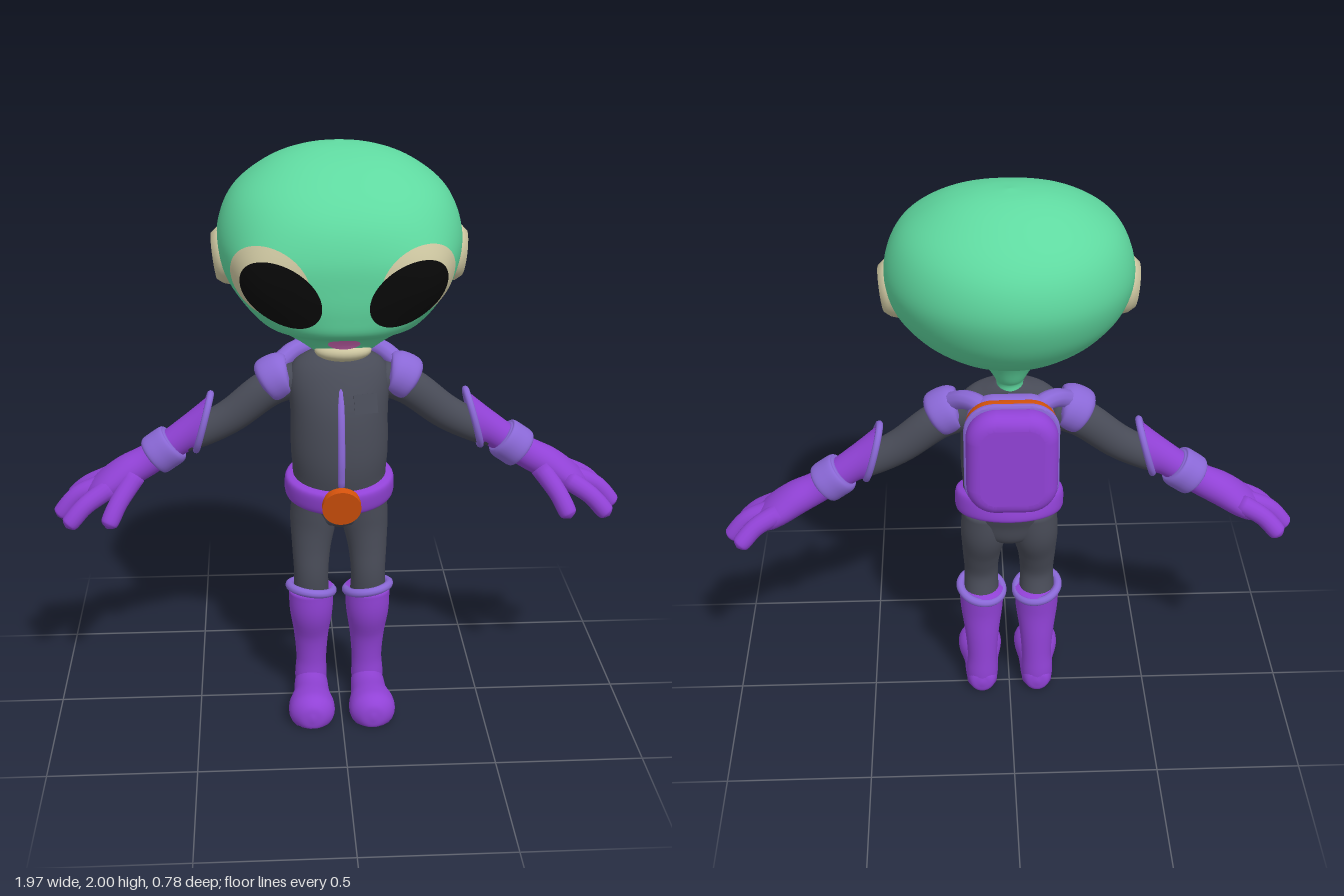
import * as THREE from 'three';
import { mergeVertices, toCreasedNormals } from 'three/addons/utils/BufferGeometryUtils.js';

const V = (x, y, z) => new THREE.Vector3(x, y, z);
const mat = (name, color) => Object.assign(new THREE.MeshStandardMaterial({ color }), { name });

// Joins rings of points into one smooth surface
function skin(rings, capStart = true) {
  const n = rings[0].length, pos = [], idx = [];
  rings.forEach(r => r.forEach(p => pos.push(p.x, p.y, p.z)));
  for (let i = 0; i < rings.length - 1; i++) for (let j = 0; j < n; j++) {
    const k = (j + 1) % n, a = i * n + j, b = i * n + k, c = b + n, d = a + n;
    idx.push(a, b, c, a, c, d);
  }
  const cap = (ring, base, flip) => {
    const m = ring.reduce((s, p) => s.add(p), V(0, 0, 0)).divideScalar(n), c = pos.length / 3;
    pos.push(m.x, m.y, m.z);
    for (let j = 0; j < n; j++) {
      const a = base + j, b = base + (j + 1) % n;
      idx.push(c, flip ? b : a, flip ? a : b);
    }
  };
  if (capStart) cap(rings[0], 0, true);
  cap(rings.at(-1), (rings.length - 1) * n, false);
  const g = new THREE.BufferGeometry();
  g.setAttribute('position', new THREE.Float32BufferAttribute(pos, 3));
  g.setIndex(idx);
  g.computeVertexNormals();
  return g;
}

// Rows are [x, y, z, radiusU, radiusV, skew], swept along their own centre line
function loftRings(rows, ref = V(0, 0, 1), n = 28, per = 5) {
  const path = new THREE.CatmullRomCurve3(rows.map(r => V(r[0], r[1], r[2])), false, 'catmullrom');
  const size = new THREE.CatmullRomCurve3(rows.map(r => V(r[3], r[4], r[5] || 0)), false, 'catmullrom');
  const steps = (rows.length - 1) * per, rings = [];
  for (let i = 0; i <= steps; i++) {
    const t = i / steps, c = path.getPoint(t), s = size.getPoint(t), T = path.getTangent(t);
    const v = ref.clone().addScaledVector(T, -ref.dot(T)).normalize(), u = v.clone().cross(T);
    rings.push(Array.from({ length: n }, (_, j) => {
      const a = j / n * Math.PI * 2, co = Math.cos(a);
      return c.clone().addScaledVector(u, s.x * co).addScaledVector(v, s.y * Math.sin(a)).addScaledVector(T, s.z * co);
    }));
  }
  return rings;
}
const loft = (rows, ref, n, per) => skin(loftRings(rows, ref, n, per));
const tube = (pts, r, closed = false, seg = 48) =>
  new THREE.TubeGeometry(new THREE.CatmullRomCurve3(pts, closed), seg, r, 10, closed);

function mirrored(geo) {
  const g = geo.clone().scale(-1, 1, 1), ix = g.index.array;
  for (let i = 0; i < ix.length; i += 3) [ix[i], ix[i + 1]] = [ix[i + 1], ix[i]];
  return g;
}

// Head profile rows: height, half width, front z, back z
const HEAD = [[1.34, .02, .18, -.02], [1.36, .09, .25, -.07], [1.4, .16, .272, -.12], [1.43, .215, .3, -.17],
  [1.46, .265, .36, -.225], [1.52, .325, .378, -.3], [1.6, .378, .385, -.355], [1.7, .4, .382, -.387],
  [1.8, .38, .345, -.372], [1.88, .328, .272, -.318], [1.95, .228, .155, -.222], [1.987, .12, .045, -.135], [2, .004, -.046, -.054]];
const headA = new THREE.CatmullRomCurve3(HEAD.map(r => V(r[0], r[1], 0)), false, 'catmullrom');
const headB = new THREE.CatmullRomCurve3(HEAD.map(r => V(r[2], r[3], 0)), false, 'catmullrom');
const NF = 2.3;
function headAt(t) {
  const a = headA.getPoint(t), b = headB.getPoint(t);
  return { y: a.x, w: a.y, m: (b.x + b.y) / 2, d: (b.x - b.y) / 2 };
}
// Bulges the head around each eye
function bulge(p) {
  for (const s of [1, -1]) {
    const d = p.distanceTo(V(.25 * s, 1.62, .29));
    p.addScaledVector(V(.6 * s, 0, .8), .03 * Math.exp(-d * d / .0144));
  }
  return p;
}
function headGeometry() {
  const rings = [];
  for (let i = 0; i <= 72; i++) {
    const h = headAt(i / 72);
    rings.push(Array.from({ length: 80 }, (_, j) => {
      const a = j / 80 * Math.PI * 2, c = Math.cos(a), s = Math.sin(a), e = 2 / (s > 0 ? NF : 2);
      return bulge(V(-h.w * Math.sign(c) * Math.abs(c) ** e, h.y, h.m + h.d * Math.sign(s) * Math.abs(s) ** e));
    }));
  }
  return skin(rings);
}
function facePoint(x, y, lift) {
  let lo = 0, hi = 1;
  for (let i = 0; i < 30; i++) headAt((lo + hi) / 2).y < y ? lo = (lo + hi) / 2 : hi = (lo + hi) / 2;
  const h = headAt(lo), q = Math.min(Math.abs(x) / h.w, .98);
  const p = bulge(V(x, y, h.m + h.d * (1 - q ** NF) ** (1 / NF)));
  return p.add(V(x, 0, .3).normalize().multiplyScalar(lift));
}
// Tilted oval laid on the face
function patch(cx, cy, a, b, tilt, lift) {
  const c = Math.cos(tilt), s = Math.sin(tilt), rings = [];
  for (let i = 12; i >= 1; i--) rings.push(Array.from({ length: 48 }, (_, j) => {
    const f = j / 48 * Math.PI * 2, u = a * i / 12 * Math.cos(f), v = b * i / 12 * Math.sin(f);
    return facePoint(cx + u * c - v * s, cy + u * s + v * c, lift);
  }));
  return skin(rings, false);
}

// Soft rounded slab for the backpack layers, from z0 back to z1
function slab(w, h, r, z0, z1, bevel, soft) {
  const x = w - bevel, y = h - bevel, q = Math.max(r - bevel, .02), s = new THREE.Shape();
  s.absarc(x - q, y - q, q, 0, Math.PI / 2);
  s.absarc(q - x, y - q, q, Math.PI / 2, Math.PI);
  s.absarc(q - x, q - y, q, Math.PI, Math.PI * 1.5);
  s.absarc(x - q, q - y, q, Math.PI * 1.5, Math.PI * 2);
  const bt = Math.min(bevel, (z0 - z1) * .45);
  const g = new THREE.ExtrudeGeometry(s, { depth: z0 - z1 - 2 * bt, bevelSize: bevel, bevelThickness: bt, bevelSegments: 6, curveSegments: 10 });
  g.translate(0, 1.132, z1 + bt);
  if (!soft) return toCreasedNormals(g, .6);
  g.deleteAttribute('normal'); g.deleteAttribute('uv');
  const m = mergeVertices(g, 1e-4);
  m.computeVertexNormals();
  return m;
}

export function createModel() {
  const root = new THREE.Group();
  root.name = 'spaceVisitor';
  const green = mat('skinGreen', 0x5fd9a0), purple = mat('purple', 0x9142d6), lilac = mat('lilac', 0x8a68d6),
    suit = mat('suitGrey', 0x484b57), orange = mat('orange', 0xd4520c), cream = mat('cream', 0xcfc8a2),
    pink = mat('pink', 0xe070c4), black = mat('black', 0x080808);
  const add = (name, geo, m) => {
    const mesh = new THREE.Mesh(geo, m);
    mesh.name = name;
    root.add(mesh);
  };
  const pair = (name, geo, m) => {
    add(name + 'Left', geo, m);
    add(name + 'Right', mirrored(geo), m);
  };

  // Head and face
  add('head', headGeometry(), green);
  pair('eyePatch', patch(.225, 1.63, .127, .106, .63, .004), cream);
  pair('eye', patch(.188, 1.595, .13, .09, .63, .008), black);
  add('mouth', patch(0, 1.418, .05, .022, 0, .009), pink);
  add('lowerLip', new THREE.SphereGeometry(1, 28, 18).scale(.092, .036, .058).translate(0, 1.378, .224), cream);
  const earProfile = [[.1, -.03], [.092, -.005], [.075, .016], [.055, .018], [.038, .006], [.024, -.008], [0, -.012]];
  const ear = new THREE.LatheGeometry(earProfile.map(p => new THREE.Vector2(...p)), 36);
  pair('ear', ear.rotateZ(-Math.PI / 2 - .12).translate(.394, 1.64, .01), cream);
  add('neck', loft([[0, 1.28, -.05, .045, .045], [0, 1.33, -.05, .045, .045], [0, 1.36, -.05, .06, .07], [0, 1.41, -.04, .1, .12]]), green);

  // Suit torso
  add('torso', loft([[0, .67, -.01, .03, .04], [0, .7, -.01, .12, .08], [0, .76, -.005, .165, .1], [0, .82, 0, .165, .125],
    [0, .88, .008, .16, .138], [0, .97, .015, .166, .141], [0, 1.1, .004, .166, .137], [0, 1.2, -.012, .172, .112],
    [0, 1.265, -.032, .15, .08], [0, 1.3, -.045, .09, .056], [0, 1.322, -.05, .043, .042]], undefined, 40), suit);
  add('zip', loft([[0, .87, .146, .012, .008], [0, .97, .157, .012, .008], [0, 1.1, .142, .012, .008], [0, 1.2, .101, .012, .008],
    [0, 1.265, .049, .012, .008], [0, 1.31, .005, .012, .008]], undefined, 12), lilac);
  const pocket = new THREE.BoxGeometry(.08, .066, .03, 4, 4, 1);
  add('chestPocket', pocket.rotateX(-.3).rotateY(.22).translate(.08, 1.15, .103), suit);

  // Belt and buckle
  add('belt', loft([[0, -.045, 0, .16, .13], [0, -.035, 0, .184, .152], [0, 0, 0, .189, .157], [0, .035, 0, .184, .152],
    [0, .045, 0, .16, .13]], undefined, 40).rotateX(.2).translate(0, .832, .005), purple);
  add('buckle', new THREE.CylinderGeometry(.066, .066, .03, 40).rotateX(Math.PI / 2 + .22).translate(0, .803, .157), orange);

  // Legs, boots and boot rims
  pair('leg', loft([[.088, .8, -.005, .075, .095], [.09, .7, -.005, .081, .09], [.098, .6, .015, .068, .07],
    [.1, .5, .032, .06, .06], [.1, .4, .015, .064, .066]]), suit);
  pair('boot', loft([[.1, .435, .012, .079, .083], [.1, .35, .012, .076, .077], [.1, .25, -.006, .062, .06],
    [.1, .15, -.014, .054, .053], [.102, .08, -.015, .057, .055], [.102, .02, -.015, .055, .052]]), purple);
  pair('bootRim', tube(Array.from({ length: 16 }, (_, i) => {
    const a = i / 8 * Math.PI, c = Math.cos(a), s = Math.sin(a);
    return V(.1 + .076 * c, .433 + .012 * c + .013 * s, .012 + .08 * s);
  }), .015, true), lilac);
  const foot = loft([[.102, .045, -.072, .008, .01], [.102, .045, -.06, .042, .045], [.102, .045, -.01, .058, .06],
    [.103, .042, .08, .064, .062], [.106, .042, .16, .08, .07], [.106, .042, .215, .076, .069], [.106, .042, .25, .045, .045],
    [.106, .042, .26, .006, .01]], V(0, 1, 0));
  const fp = foot.attributes.position;
  for (let i = 0; i < fp.count; i++) fp.setY(i, Math.max(0, fp.getY(i)));
  foot.computeVertexNormals();
  pair('foot', foot, purple);

  // Arms, shoulder bands and straps
  pair('arm', loft([[.13, 1.2, -.03, .06, .06], [.24, 1.165, -.03, .064, .06], [.36, 1.075, -.03, .06, .056],
    [.46, 1.02, -.03, .055, .052], [.55, .98, -.03, .045, .045]]), suit);
  pair('shoulderBand', loft([[.17, 1.222, -.03, .05, .055], [.182, 1.219, -.03, .074, .076], [.215, 1.205, -.03, .08, .08],
    [.245, 1.188, -.03, .075, .076], [.256, 1.181, -.03, .05, .055]]), lilac);
  pair('strap', tube([V(.2, 1.25, -.05), V(.15, 1.28, -.09), V(.1, 1.28, -.13), V(.07, 1.25, -.15)], .032, false, 20), lilac);

  // Gloves with a slanted cuff and a wrist band
  const gloveRows = [[.463, 1.048, -.03, .066, .066, -.08], [.52, 1.008, -.032, .056, .056, -.03], [.6, .95, -.034, .052, .052],
    [.66, .91, -.034, .054, .054], [.73, .872, -.034, .056, .07], [.8, .825, -.034, .05, .084], [.845, .79, -.034, .036, .07], [.86, .775, -.034, .01, .02]];
  const gloveRings = loftRings(gloveRows);
  pair('glove', skin(gloveRings), purple);
  pair('cuffRim', tube(gloveRings[0].filter((_, i) => i % 2 === 0), .012, true), lilac);
  pair('wristBand', loft([[.563, .976, -.034, .055, .055], [.571, .97, -.034, .071, .07], [.602, .949, -.034, .073, .072],
    [.633, .927, -.034, .071, .07], [.641, .921, -.034, .055, .055]]), lilac);

  // Thumb and three fingers, given as root, knuckle and tip
  const digits = [[[.7, .87, .01], [.755, .795, .06], [.785, .738, .088]], [[.79, .83, .015], [.87, .78, .045], [.92, .728, .062]],
    [[.8, .83, -.034], [.9, .79, -.034], [.958, .728, -.034]], [[.79, .84, -.08], [.87, .8, -.105], [.918, .755, -.128]]];
  digits.forEach(([a, b, c], i) => {
    const d = V(...c).sub(V(...b)).normalize(), end = k => V(...c).addScaledVector(d, k).toArray();
    pair(['thumb', 'frontFinger', 'middleFinger', 'backFinger'][i],
      loft([[...a, .036, .036], [...b, .032, .032], [...c, .031, .031], [...end(.018), .022, .022], [...end(.028), .003, .003]], undefined, 16), purple);
  });

  // Backpack layers
  add('packBase', slab(.145, .185, .09, -.1, -.17, .03, true), lilac);
  add('packBand', slab(.15, .19, .09, -.165, -.21, .008, false), orange);
  add('packRim', slab(.157, .2, .1, -.205, -.225, .009, false), lilac);
  add('packLobe', slab(.15, .188, .1, -.19, -.292, .045, true), purple);
  return root;
}
